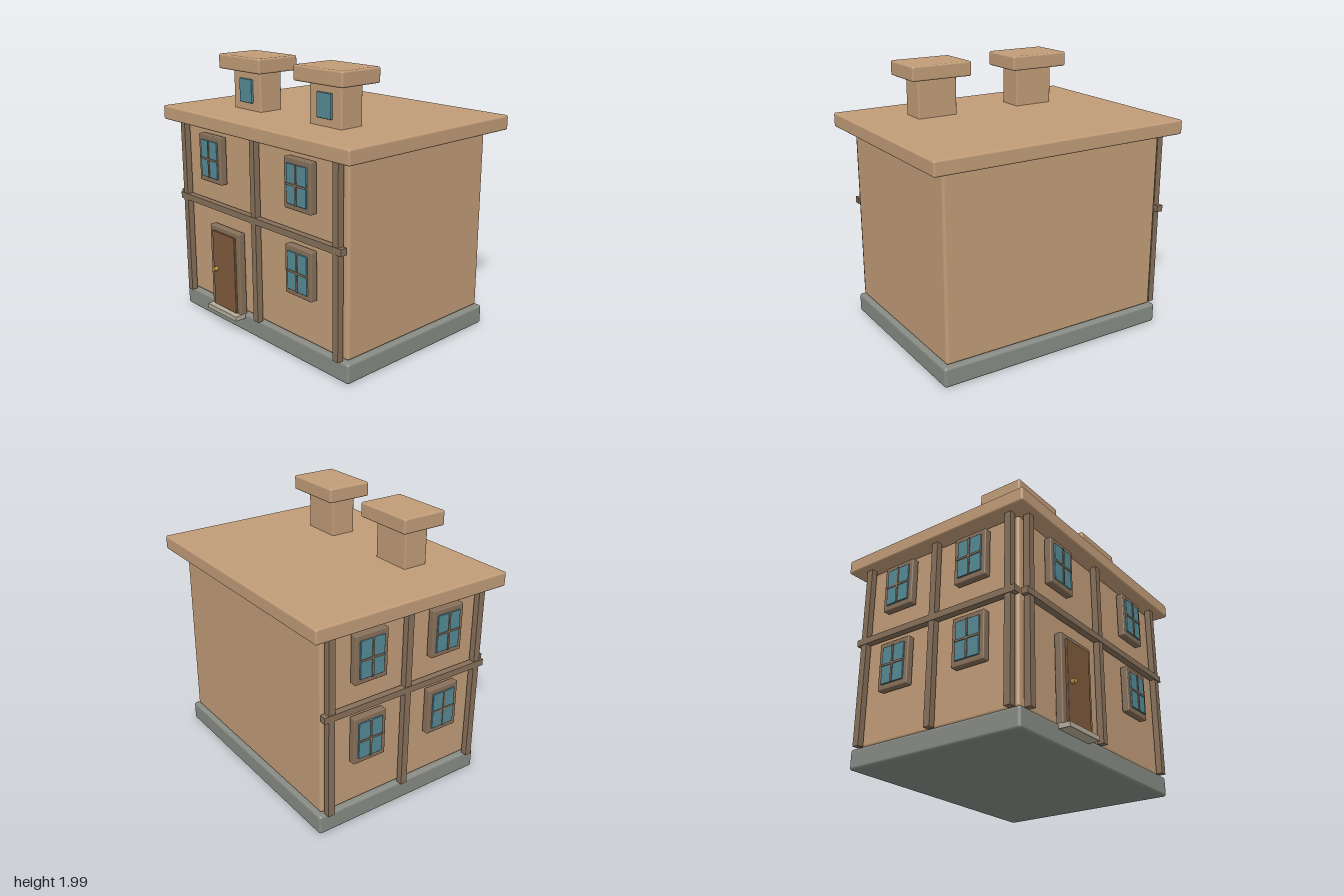
import * as THREE from 'three';
import { RoundedBoxGeometry } from 'three/addons/geometries/RoundedBoxGeometry.js';

const paint = (color) => new THREE.MeshStandardMaterial({ color });

export function createModel() {
  const house = new THREE.Group();
  house.name = 'house';
  const wall = paint(0xc19c78), timber = paint(0x87705a), glass = paint(0x558a96);
  const stone = paint(0x878b84), doorWood = paint(0x7f5a3c), brass = paint(0xc9963f);
  const stepStone = paint(0xb5ac9a);

  // Box given by its min and max corners, with edges rounded when r > 0
  function box(parent, name, mat, x0, x1, y0, y1, z0, z1, r = 0) {
    const w = x1 - x0, h = y1 - y0, d = z1 - z0;
    const geo = r ? new RoundedBoxGeometry(w, h, d, 3, r) : new THREE.BoxGeometry(w, h, d);
    const mesh = new THREE.Mesh(geo, mat);
    mesh.name = name;
    mesh.position.set((x0 + x1) / 2, (y0 + y1) / 2, (z0 + z1) / 2);
    parent.add(mesh);
    return mesh;
  }

  // Main masses
  box(house, 'foundation', stone, -0.915, 0.915, 0, 0.145, -0.7, 0.7, 0.02);
  box(house, 'walls', wall, -0.883, 0.883, 0.148, 1.485, -0.67, 0.67, 0.02);
  box(house, 'roof', wall, -1, 1, 1.49, 1.595, -0.783, 0.783, 0.014);

  // Roof turrets with caps and a small pane each
  for (const cx of [-0.418, 0.415]) {
    const turret = new THREE.Group();
    turret.name = 'roofTurret';
    turret.position.x = cx;
    box(turret, 'turretBody', wall, -0.155, 0.155, 1.57, 1.88, 0.243, 0.435, 0.01);
    box(turret, 'turretCap', wall, -0.237, 0.237, 1.88, 1.988, 0.16, 0.51, 0.014);
    box(turret, 'turretPane', glass, -0.07, 0.07, 1.65, 1.822, 0.42, 0.452, 0.005);
    house.add(turret);
  }

  // Window centred on (x, y), facing +z, with its back at z = 0
  function addWindow(parent, x, y) {
    const win = new THREE.Group();
    win.name = 'window';
    win.position.set(x, y, 0);
    box(win, 'windowFrame', timber, -0.13, 0.13, -0.174, 0.174, 0, 0.055, 0.008);
    box(win, 'windowGlass', glass, -0.097, 0.097, -0.136, 0.136, 0.045, 0.066, 0.005);
    box(win, 'uprightBar', timber, -0.007, 0.007, -0.136, 0.136, 0.06, 0.072);
    box(win, 'crossBar', timber, -0.097, 0.097, -0.007, 0.007, 0.06, 0.072);
    parent.add(win);
  }

  // Timber framing of one face: three posts and a mid-height beam
  function addTimbers(parent, half, postX) {
    for (const x of [-postX, 0, postX])
      box(parent, 'post', timber, x - 0.025, x + 0.025, 0.148, 1.49, 0.003, 0.05);
    box(parent, 'beam', timber, -half, half, 0.888, 0.935, 0.005, 0.055);
  }

  // Front face
  const front = new THREE.Group();
  front.name = 'frontFace';
  front.position.z = 0.682;
  house.add(front);
  addTimbers(front, 0.883, 0.828);
  addWindow(front, -0.484, 1.262);
  addWindow(front, 0.475, 1.262);
  addWindow(front, 0.475, 0.664);

  // Door with frame, knob and step
  const door = new THREE.Group();
  door.name = 'door';
  front.add(door);
  box(door, 'doorFrame', timber, -0.516, -0.166, 0.14, 0.766, 0, 0.055, 0.008);
  box(door, 'doorPanel', doorWood, -0.472, -0.208, 0.148, 0.73, 0.04, 0.07, 0.005);
  box(door, 'doorStep', stepStone, -0.516, -0.166, 0.108, 0.145, 0.012, 0.105, 0.004);
  const knob = new THREE.Mesh(new THREE.CylinderGeometry(0.017, 0.017, 0.035, 20), brass);
  knob.name = 'doorKnob';
  knob.rotation.x = Math.PI / 2;
  knob.position.set(-0.428, 0.44, 0.083);
  door.add(knob);

  // Right-hand face (-x) with four windows
  const side = new THREE.Group();
  side.name = 'sideFace';
  side.rotation.y = -Math.PI / 2;
  side.position.x = -0.895;
  house.add(side);
  addTimbers(side, 0.685, 0.625);
  for (const z of [-0.32, 0.32])
    for (const y of [0.664, 1.262]) addWindow(side, z, y);

  return house;
}
